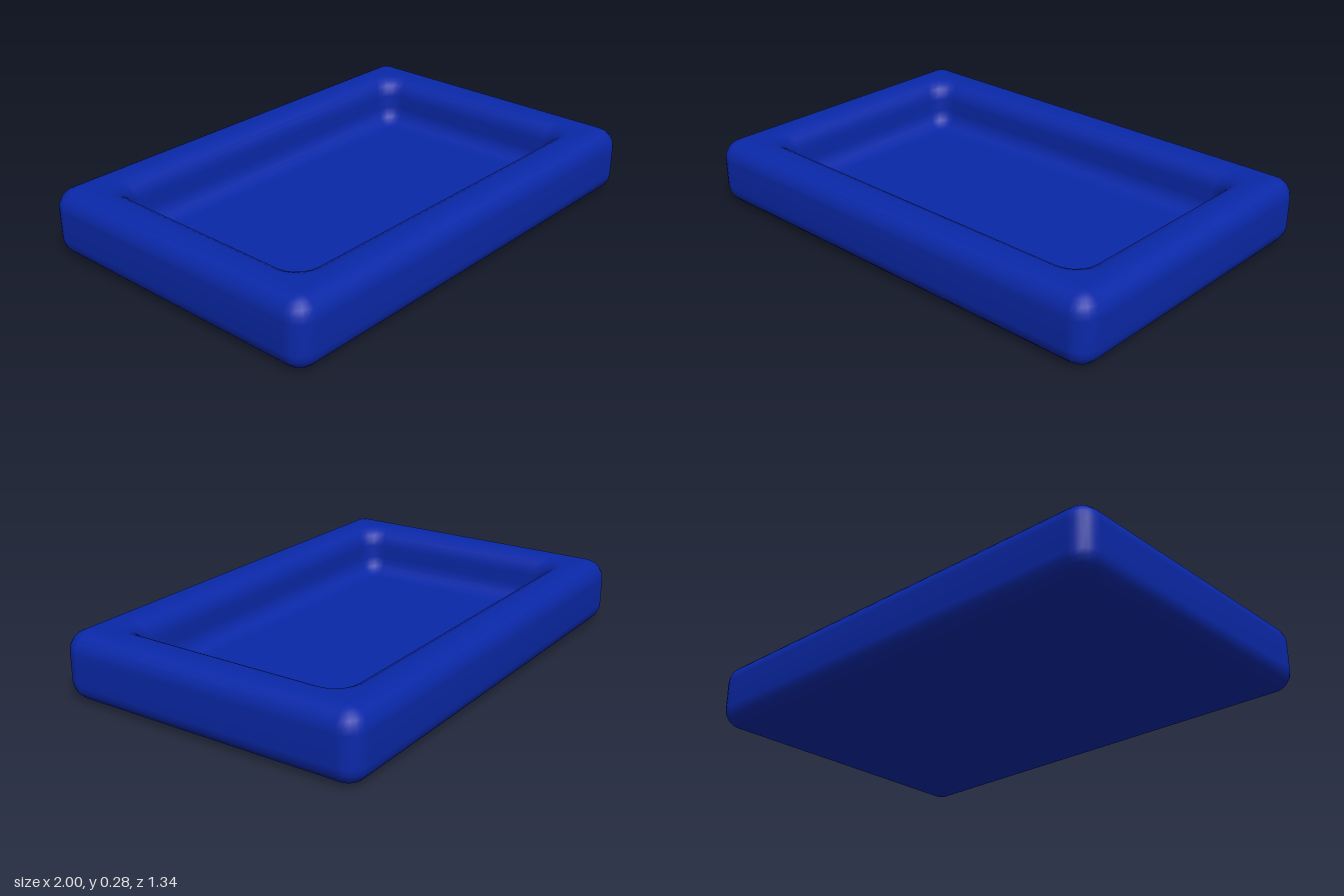
import * as THREE from 'three';

const HALF_X = 1, HALF_Z = 0.67, HEIGHT = 0.28, FLOOR = 0.07;
const CORNER_STEPS = 5, FILLET_STEPS = 5;

// Rounded-rectangle ring, inset from the outer outline
function ring(inset, y, radius) {
  const points = [];
  const cx = HALF_X - inset - radius, cz = HALF_Z - inset - radius;
  const signs = [[1, 1], [-1, 1], [-1, -1], [1, -1]];
  signs.forEach(([sx, sz], q) => {
    for (let i = 0; i <= CORNER_STEPS; i++) {
      const a = (q + i / CORNER_STEPS) * Math.PI / 2;
      points.push([sx * cx + radius * Math.cos(a), y, sz * cz + radius * Math.sin(a)]);
    }
  });
  return points;
}

// Skin a closed surface through consecutive rings
function loft(rings) {
  const n = rings[0].length, index = [];
  for (let i = 0; i < rings.length - 1; i++) {
    for (let j = 0; j < n; j++) {
      const k = (j + 1) % n;
      const a = i * n + j, b = a + n, c = i * n + k, d = c + n;
      index.push(a, b, c, b, d, c);
    }
  }
  const geometry = new THREE.BufferGeometry();
  geometry.setAttribute('position', new THREE.Float32BufferAttribute(rings.flat(2), 3));
  geometry.setIndex(index);
  geometry.computeVertexNormals();
  return geometry;
}

export function createModel() {
  const group = new THREE.Group();
  group.name = 'tray';
  const rings = [];
  const centre = y => rings.push(ring(0, y, 0).map(() => [0, y, 0]));

  // Quarter-round: centre of the arc, radius, start and end in quarter turns,
  // and the plan corner radius at each end
  const fillet = (inset, y, r, from, to, cornerFrom, cornerTo) => {
    const reach = q => Math.abs(Math.cos(q * Math.PI / 2));
    for (let i = 0; i <= FILLET_STEPS; i++) {
      const q = from + (to - from) * i / FILLET_STEPS, a = q * Math.PI / 2;
      const t = (reach(q) - reach(from)) / (reach(to) - reach(from));
      rings.push(ring(inset - r * Math.cos(a), y + r * Math.sin(a),
        cornerFrom + (cornerTo - cornerFrom) * t));
    }
  };

  centre(0);                                                        // underside
  fillet(0.08, 0.08, 0.08, -1, 0, 0.008, 0.08);                     // lower outer edge
  fillet(0.08, HEIGHT - 0.08, 0.08, 0, 1, 0.08, 0.008);             // upper outer edge
  fillet(0.115, HEIGHT - 0.08, 0.08, 1, 2, 0.13, 0.08);             // inner rim edge
  fillet(0.27, FLOOR + 0.075, 0.075, 0, -1, 0.08, 0.02);            // floor cove
  centre(FLOOR);                                                    // tray floor

  const body = new THREE.Mesh(loft(rings), new THREE.MeshStandardMaterial({ color: 0x0a28a8 }));
  body.name = 'trayBody';
  group.add(body);
  return group;
}
